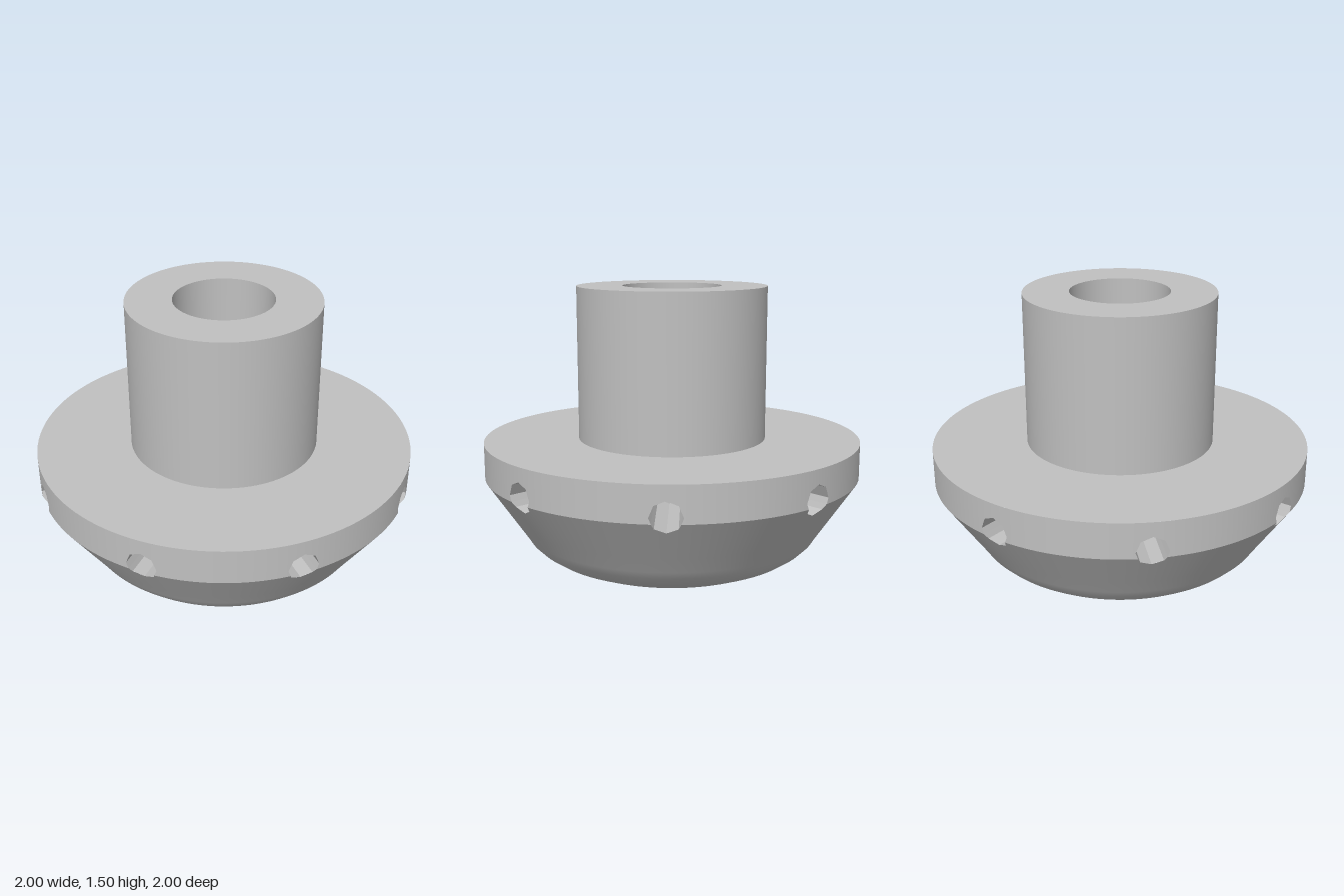
import * as THREE from 'three';

const SEGMENTS = 128;
const HOLES = 8;
const HOLE_Y = 0.54, HOLE_R = 0.08, HOLE_FLOOR = 0.5; // octagonal blind holes
const CREASE_Y = 0.51, RIM_TOP = 0.695, CONE_LOW = 0.3;
const SLOPE = 0.2 / 0.3; // widening of the cone per unit of height
const K = HOLE_R * Math.SQRT1_2;

// Body radius at a height, and the surface point at an angle and height
const radiusAt = y => 1 - Math.max(0, CREASE_Y - y) * SLOPE;
const surface = (t, y) => [Math.sin(t) * radiusAt(y), y, Math.cos(t) * radiusAt(y)];

// Half height of the octagonal opening at a sideways offset from its centre
function halfHeight(u) {
  const a = Math.abs(u);
  if (a >= HOLE_R - 1e-6) return 0;
  if (a >= K) return (HOLE_R - a) / (HOLE_R - K) * K;
  return K + (K - a) * (HOLE_R - K) / K;
}

// Offset at which the opening crosses the crease
const CROSS = HOLE_R - (HOLE_R - K) * (HOLE_Y - CREASE_Y) / K;

// One sector of the wall, in columns that stop at the opening
function wallSector() {
  const half = [0, K / 2, K, CROSS, HOLE_R].map(u => Math.asin(u));
  const step = Math.PI * 2 / SEGMENTS;
  for (let i = 2; i <= SEGMENTS / HOLES / 2; i++) half.push(i * step);
  const columns = [...half.slice(1).reverse().map(t => -t), ...half];
  const positions = [], normals = [];

  const strip = (t0, t1, low, high, slope) => {
    const corners = [[t0, low(t0)], [t1, low(t1)], [t1, high(t1)], [t0, high(t0)]];
    const len = Math.hypot(1, slope);
    for (const i of [0, 1, 2, 0, 2, 3]) {
      const [t, y] = corners[i];
      positions.push(...surface(t, y));
      normals.push(Math.sin(t) / len, -slope / len, Math.cos(t) / len);
    }
  };
  const top = t => HOLE_Y + halfHeight(Math.sin(t));
  const bottom = t => HOLE_Y - halfHeight(Math.sin(t));
  for (let i = 0; i < columns.length - 1; i++) {
    const a = columns[i], b = columns[i + 1];
    strip(a, b, top, () => RIM_TOP, 0);
    strip(a, b, () => CREASE_Y, t => Math.max(CREASE_Y, bottom(t)), 0);
    strip(a, b, () => CONE_LOW, t => Math.min(CREASE_Y, bottom(t)), SLOPE);
  }
  const geometry = new THREE.BufferGeometry();
  geometry.setAttribute('position', new THREE.Float32BufferAttribute(positions, 3));
  geometry.setAttribute('normal', new THREE.Float32BufferAttribute(normals, 3));
  return geometry;
}

// Flat sided wall of one hole, from the body surface to the hole floor
function holeSides() {
  const ring = [];
  for (let i = 0; i < 8; i++) {
    const a = i * Math.PI / 4;
    ring.push([HOLE_R * Math.cos(a), HOLE_R * Math.sin(a)]);
    if (i === 4) ring.push([-CROSS, CREASE_Y - HOLE_Y]);
  }
  ring.push([CROSS, CREASE_Y - HOLE_Y]);
  const positions = [];
  ring.forEach(([u, v], i) => {
    const [u1, v1] = ring[(i + 1) % ring.length];
    const p0 = surface(Math.asin(u), HOLE_Y + v);
    const p1 = surface(Math.asin(u1), HOLE_Y + v1);
    const q0 = [p0[0], p0[1], HOLE_FLOOR], q1 = [p1[0], p1[1], HOLE_FLOOR];
    positions.push(...p0, ...p1, ...q1, ...p0, ...q1, ...q0);
  });
  const geometry = new THREE.BufferGeometry();
  geometry.setAttribute('position', new THREE.Float32BufferAttribute(positions, 3));
  geometry.computeVertexNormals();
  return geometry;
}

export function createModel() {
  const model = new THREE.Group();
  model.name = 'domedFoot';
  const steel = new THREE.MeshStandardMaterial({ color: 0xc0c0c0 });
  steel.name = 'greySteel';

  const add = (name, geometry, parent = model) => {
    const mesh = new THREE.Mesh(geometry, steel);
    mesh.name = name;
    parent.add(mesh);
    return mesh;
  };
  const turned = (name, points) => add(name, new THREE.LatheGeometry(
    points.map(([x, y]) => new THREE.Vector2(x, y)), SEGMENTS));

  // Rounded underside
  turned('bottomFace', [[0, 0], [0.4, 0]]);
  turned('roundedUnderside', [
    [0.4, 0], [0.5, 0.025], [0.6, 0.056], [0.68, 0.092], [0.735, 0.13],
    [0.775, 0.17], [0.8, 0.21], [radiusAt(CONE_LOW), CONE_LOW],
  ]);

  // Rim and cone wall with the ring of holes
  const wall = wallSector(), sides = holeSides();
  const floor = new THREE.CircleGeometry(HOLE_R, 8);
  for (let i = 0; i < HOLES; i++) {
    const sector = new THREE.Group();
    sector.name = 'rimSector' + (i + 1);
    sector.rotation.y = i * Math.PI * 2 / HOLES;
    add('rimWall', wall, sector);
    add('holeSides', sides, sector);
    add('holeFloor', floor, sector).position.set(0, HOLE_Y, HOLE_FLOOR);
    model.add(sector);
  }
  turned('shoulder', [[1, RIM_TOP], [0.5, RIM_TOP]]);

  // Hollow neck
  turned('neck', [[0.5, RIM_TOP], [0.5, 1.5]]);
  turned('neckEnd', [[0.5, 1.5], [0.26, 1.5]]);
  turned('bore', [[0.26, 1.5], [0.26, 0.7]]);
  turned('boreFloor', [[0.26, 0.7], [0, 0.7]]);
  return model;
}
